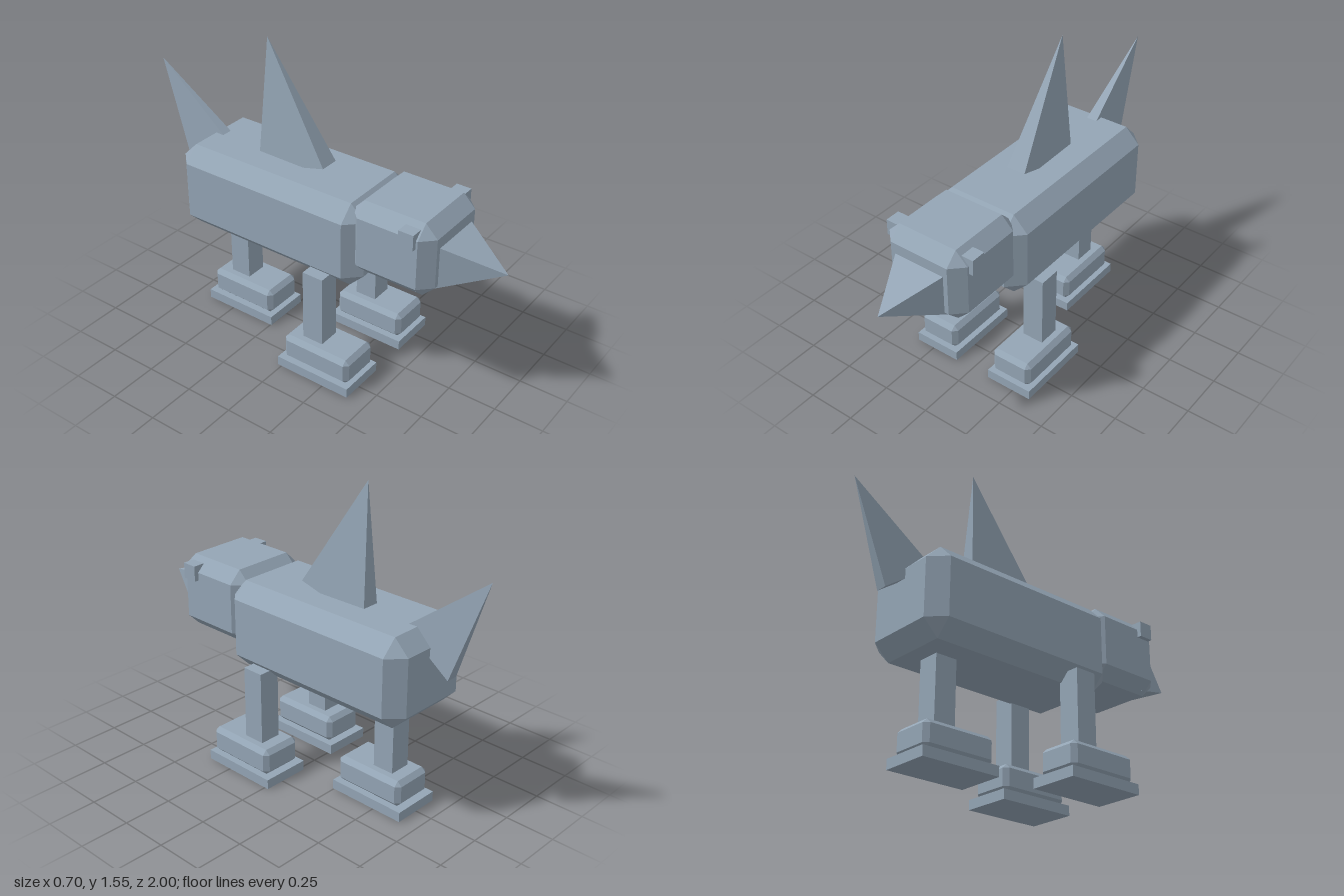
import * as THREE from 'three';
import { ConvexGeometry } from 'three/addons/geometries/ConvexGeometry.js';

const metal = new THREE.MeshStandardMaterial({ color: 0x94a5b5 });
metal.name = 'blueGreyMetal';

// Box with every edge cut flat by c
function chamferBox(w, h, d, c) {
  const points = [];
  for (const sx of [-1, 1]) for (const sy of [-1, 1]) for (const sz of [-1, 1]) {
    const x = w / 2, y = h / 2, z = d / 2;
    points.push(
      new THREE.Vector3(sx * x, sy * (y - c), sz * (z - c)),
      new THREE.Vector3(sx * (x - c), sy * y, sz * (z - c)),
      new THREE.Vector3(sx * (x - c), sy * (y - c), sz * z));
  }
  return new ConvexGeometry(points);
}

// Four-sided spike with a rectangular base centred on the origin, pointing up
function pyramid(w, d, h) {
  const geo = new THREE.ConeGeometry(Math.SQRT1_2, 1, 4).rotateY(Math.PI / 4)
    .translate(0, 0.5, 0).scale(w, h, d).toNonIndexed();
  geo.computeVertexNormals();
  return geo;
}

function add(parent, name, geometry, x, y, z, tilt = 0) {
  const mesh = new THREE.Mesh(geometry, metal);
  mesh.name = name;
  mesh.position.set(x, y, z);
  mesh.rotation.x = tilt;
  parent.add(mesh);
  return mesh;
}

// Post, bevelled foot and flat sole
function addLeg(parent, name, x, z) {
  const leg = new THREE.Group();
  leg.name = name;
  leg.position.set(x, 0, z);
  add(leg, 'post', new THREE.BoxGeometry(0.113, 0.4, 0.113), 0, 0.36, 0);
  add(leg, 'foot', chamferBox(0.222, 0.135, 0.38, 0.023), 0, 0.118, 0.05);
  add(leg, 'sole', new THREE.BoxGeometry(0.25, 0.05, 0.415), 0, 0.025, 0.045);
  parent.add(leg);
}

export function createModel() {
  const model = new THREE.Group();
  model.name = 'robotAnimal';

  add(model, 'body', chamferBox(0.508, 0.445, 1.08, 0.077), 0, 0.738, -0.18);

  // Head with snout and side eyes
  const head = new THREE.Group();
  head.name = 'head';
  model.add(head);
  add(head, 'skull', chamferBox(0.444, 0.38, 0.445, 0.063), 0, 0.801, 0.506);
  add(head, 'snout', pyramid(0.36, 0.28, 0.36), 0, 0.768, 0.64, Math.PI / 2);
  for (const [name, side] of [['leftEye', 1], ['rightEye', -1]])
    add(head, name, new THREE.BoxGeometry(0.08, 0.08, 0.077), side * 0.205, 0.927, 0.618);

  // Back fin and tail, both leaning backwards
  add(model, 'backFin', pyramid(0.1, 0.4, 0.63), 0, 0.94, -0.16, -0.26);
  add(model, 'tail', pyramid(0.06, 0.31, 0.51), 0, 0.85, -0.698, -0.633);

  // Two front legs and a single rear leg
  addLeg(model, 'leftFrontLeg', 0.225, 0.142);
  addLeg(model, 'rightFrontLeg', -0.225, 0.142);
  addLeg(model, 'rearLeg', 0, -0.497);

  return model;
}
